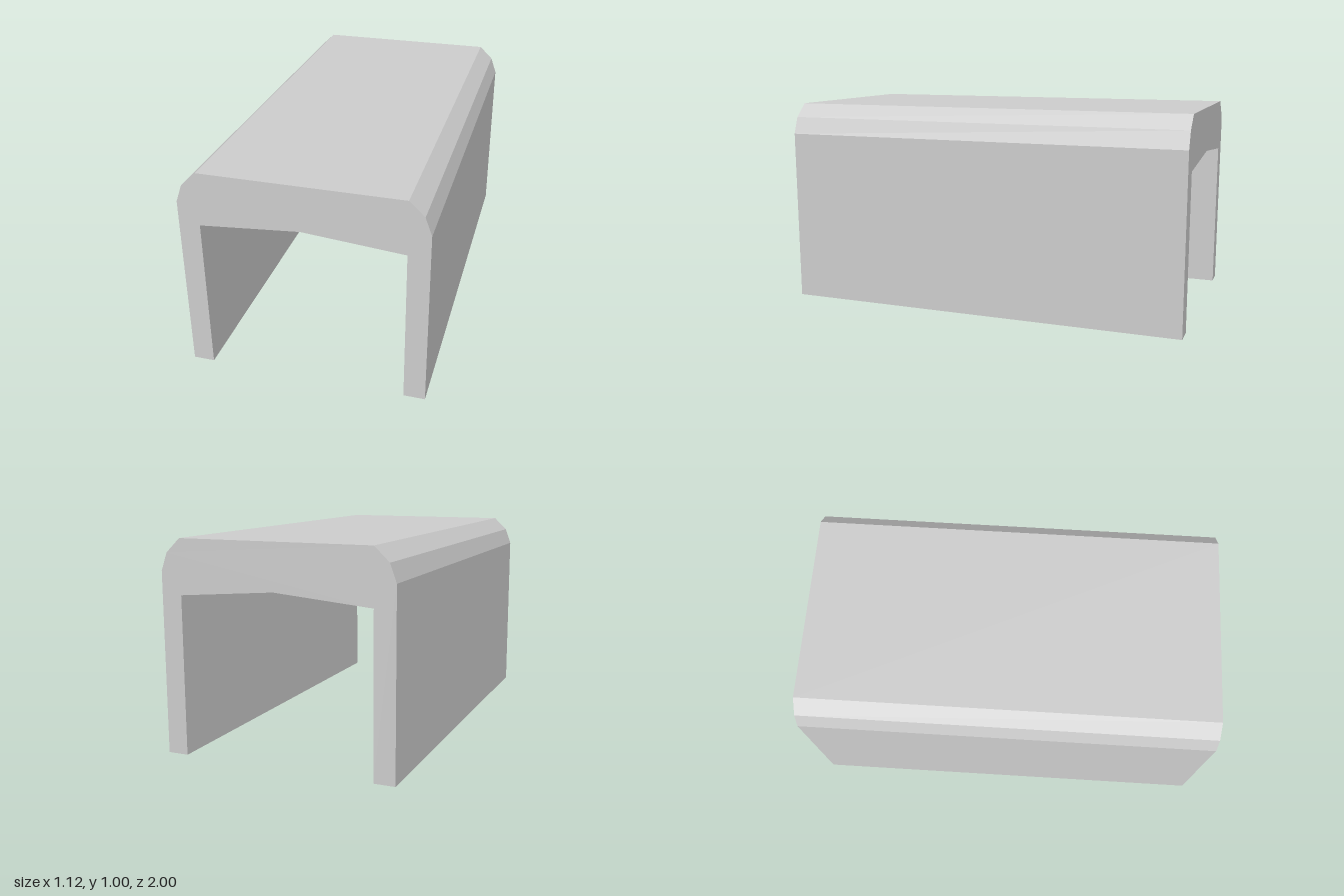
import * as THREE from 'three';

export function createModel() {
  const group = new THREE.Group();
  group.name = 'channelCover';

  const lightGrey = new THREE.MeshStandardMaterial({ color: 0xcccccc, flatShading: true });
  lightGrey.name = 'lightGrey';

  // Right-hand half of the arch section: inner apex, inner wall, outer wall, chamfered shoulder
  const half = [
    [0.463, 0.745], [0.463, 0], [0.562, 0],
    [0.562, 0.851], [0.532, 0.934], [0.463, 1],
  ];
  const mirrored = half.map(([x, y]) => [-x, y]).reverse();
  const outline = [[0, 0.784], ...half, ...mirrored].map(([x, y]) => new THREE.Vector2(x, y));

  // Section swept along the full length
  const length = 2;
  const geometry = new THREE.ExtrudeGeometry(new THREE.Shape(outline), {
    depth: length, bevelEnabled: false,
  });
  geometry.translate(0, 0, -length / 2);

  const cover = new THREE.Mesh(geometry, lightGrey);
  cover.name = 'archedCover';
  group.add(cover);
  return group;
}
